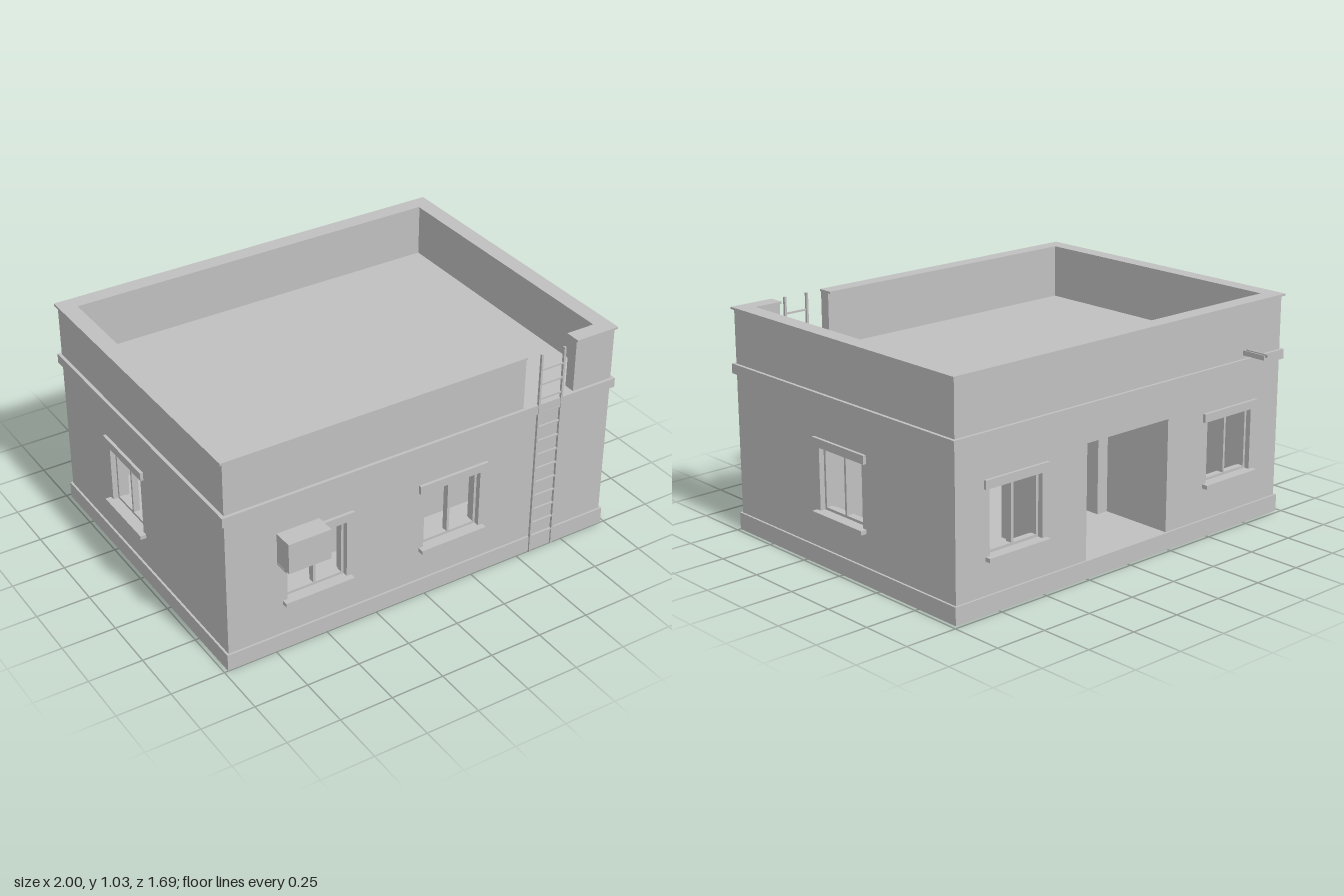
import * as THREE from 'three';

export function createModel() {
  const model = new THREE.Group();
  model.name = 'flatRoofedHouse';
  const plaster = new THREE.MeshStandardMaterial({ color: 0xc0c0c0 });
  plaster.name = 'plaster grey';

  // Main dimensions
  const X = 0.972, ZF = 0.74, ZB = -0.722, T = 0.08;
  const BASE = 0.08, ROOF = 0.778, TOP = 1.035;

  // Box given by its limits on each axis
  function box(parent, name, x0, x1, y0, y1, z0, z1) {
    const m = new THREE.Mesh(new THREE.BoxGeometry(x1 - x0, y1 - y0, z1 - z0), plaster);
    m.position.set((x0 + x1) / 2, (y0 + y1) / 2, (z0 + z1) / 2);
    m.name = name;
    parent.add(m);
    return m;
  }

  // Two-light window with lintel and sill; local +z points outdoors
  const WIN = { w: 0.145, y0: 0.247, y1: 0.535 };
  function addWindow(parent, u) {
    const g = new THREE.Group();
    g.name = 'window';
    g.position.x = u;
    parent.add(g);
    const { w, y0, y1 } = WIN, f = 0.012, zb = -0.055, zf = -0.025;
    box(g, 'lintel', -0.175, 0.175, 0.537, 0.576, -0.01, 0.014);
    box(g, 'sill', -0.168, 0.168, 0.228, 0.247, -0.06, 0.028);
    for (const x of [-w, -f / 2, w - f]) box(g, 'frameUpright', x, x + f, y0, y1, zb, zf);
    for (const y of [y0, y1 - f]) box(g, 'frameRail', -w, w, y, y + f, zb, zf);
  }

  // Wall with window holes and an optional doorway notch, built facing local +z
  function addWall(name, u0, u1, windows, door, place) {
    const g = new THREE.Group();
    g.name = name;
    const y0 = BASE, y1 = 0.74;
    const s = new THREE.Shape();
    s.moveTo(u0, y0);
    if (door) {
      s.lineTo(door[0], y0);
      s.lineTo(door[0], door[2]);
      s.lineTo(door[1], door[2]);
      s.lineTo(door[1], y0);
    }
    s.lineTo(u1, y0);
    s.lineTo(u1, y1);
    s.lineTo(u0, y1);
    s.closePath();
    for (const u of windows) {
      const h = new THREE.Path();
      h.moveTo(u - WIN.w, WIN.y0);
      h.lineTo(u - WIN.w, WIN.y1);
      h.lineTo(u + WIN.w, WIN.y1);
      h.lineTo(u + WIN.w, WIN.y0);
      h.closePath();
      s.holes.push(h);
      addWindow(g, u);
    }
    const geo = new THREE.ExtrudeGeometry(s, { depth: T, bevelEnabled: false });
    geo.translate(0, 0, -T);
    const m = new THREE.Mesh(geo, plaster);
    m.name = name + 'Panel';
    g.add(m);
    g.position.set(place[0], 0, place[1]);
    g.rotation.y = place[2];
    model.add(g);
  }

  // Plinth, outer walls and roof slab with its projecting band
  box(model, 'plinth', -X - 0.01, X + 0.01, 0, BASE, ZB - 0.01, ZF + 0.009);
  addWall('frontWall', -X, X, [-0.54, 0.14], null, [0, ZF, 0]);
  addWall('backWall', -X, X, [-0.645, 0.645], [-0.245, 0.245, 0.6], [0, ZB, Math.PI]);
  addWall('leftWall', -ZF + T, -ZB - T, [-0.01], null, [X, 0, Math.PI / 2]);
  addWall('rightWall', ZB + T, ZF - T, [-0.14], null, [-X, 0, -Math.PI / 2]);
  box(model, 'roofBand', -X - 0.015, X + 0.015, 0.733, ROOF, ZB - 0.014, ZF + 0.014);

  // Recessed entrance and interior partitions
  const ZR = -0.36;
  for (const s of [-1, 1]) {
    const a = s * 0.245, b = s * (0.245 + T);
    box(model, 'entranceSide', Math.min(a, b), Math.max(a, b), BASE, 0.735, ZB + T, ZR + T);
  }
  box(model, 'innerDoorwayLeft', 0.155, 0.245, BASE, 0.735, ZR, ZR + T);
  box(model, 'innerDoorwayRight', -0.245, -0.185, BASE, 0.735, ZR, ZR + T);
  box(model, 'innerDoorwayHead', -0.185, 0.155, 0.6, 0.735, ZR, ZR + T);
  box(model, 'innerPartition', -X + T, X - T, BASE, 0.735, 0.3, 0.3 + T);

  // Parapet with a gap at the ladder, each run topped by a thin coping
  const P = 0.052, C = 0.012, CY = 1.025;
  function parapet(x0, x1, z0, z1, cx0, cx1, cz0, cz1) {
    box(model, 'parapet', x0, x1, ROOF, CY, z0, z1);
    box(model, 'coping', cx0, cx1, CY, TOP, cz0, cz1);
  }
  const xi = X - P, ci = xi - 0.014, co = X + C;
  const zfi = ZF - P, zbi = ZB + P;
  parapet(-X, X, ZB, zbi, -co, co, ZB - C, zbi + 0.014);
  parapet(-X, -xi, zbi, zfi, -co, -ci, zbi + 0.014, zfi - 0.014);
  parapet(xi, X, zbi, zfi, ci, co, zbi + 0.014, zfi - 0.014);
  parapet(-X, 0.498, zfi, ZF, -co, 0.498, zfi - 0.014, ZF + 0.008);
  parapet(0.765, X, zfi, ZF, 0.765, co, zfi - 0.014, ZF + 0.008);

  // Roof ladder
  const ladder = new THREE.Group();
  ladder.name = 'ladder';
  model.add(ladder);
  for (const x of [0.567, 0.687]) box(ladder, 'ladderRail', x, x + 0.01, 0, 1.03, 0.745, 0.757);
  for (let i = 0; i < 13; i++) {
    const y = 0.08 + i * 0.0727;
    box(ladder, 'ladderRung', 0.575, 0.689, y - 0.004, y + 0.004, 0.747, 0.755);
  }

  // Air conditioner on its bracket
  box(model, 'airConditioner', -0.738, -0.535, 0.463, 0.608, 0.75, 0.843);
  box(model, 'airConditionerBracket', -0.733, -0.54, 0.447, 0.455, ZF - 0.01, 0.815);
  for (const x of [-0.72, -0.565]) box(model, 'bracketArm', x, x + 0.012, 0.455, 0.463, ZF - 0.01, 0.815);

  // Rainwater spout at the back
  const sx0 = -0.75, sx1 = -0.722;
  box(model, 'spoutBed', sx0, sx1, 0.795, 0.802, -0.843, ZB);
  box(model, 'spoutSide', sx0, sx0 + 0.006, 0.802, 0.818, -0.843, ZB);
  box(model, 'spoutSide', sx1 - 0.006, sx1, 0.802, 0.818, -0.843, ZB);

  return model;
}
